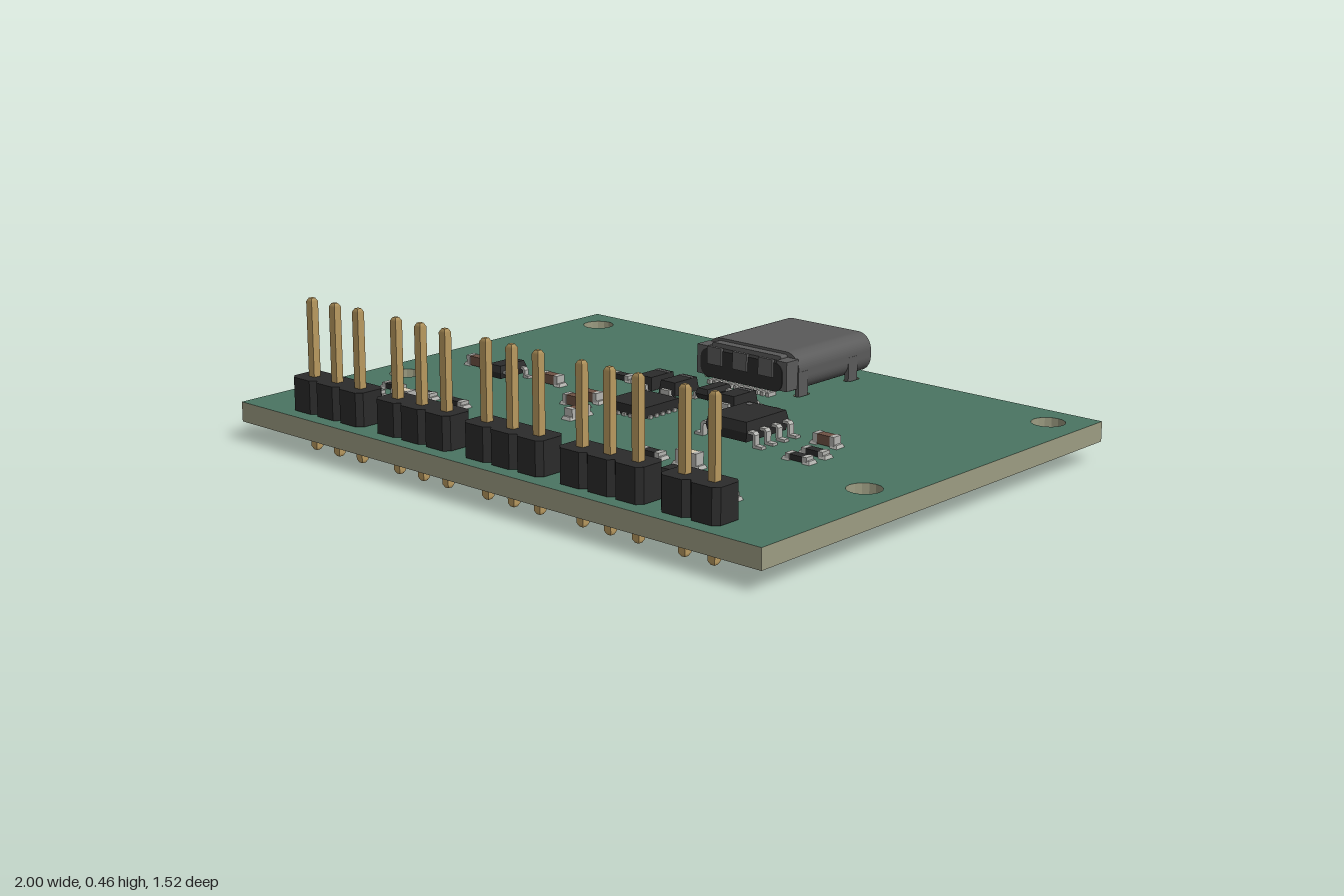
import * as THREE from 'three';

const TOP = 0.12; // upper face of the board
const mat = (color) => new THREE.MeshStandardMaterial({ color });
const MAT = {
  mask: mat(0x4a7562), core: mat(0x9c9c82), black: mat(0x2b2b2b), steel: mat(0x5a5a5a),
  gold: mat(0xb8995f), tin: mat(0xb4b4b0), brown: mat(0x6e5144), beige: mat(0xdacdb2), dot: mat(0x8a8a8a),
};

function add(parent, name, geometry, material, x = 0, y = 0, z = 0) {
  const mesh = new THREE.Mesh(geometry, material);
  mesh.name = name;
  mesh.position.set(x, y, z);
  parent.add(mesh);
  return mesh;
}

function group(parent, name, x = 0, y = 0, z = 0) {
  const g = new THREE.Group();
  g.name = name;
  g.position.set(x, y, z);
  parent.add(g);
  return g;
}

// Box standing on y = 0 whose top is drawn in by the given amount
function block(w, h, d, taper = 0) {
  const g = new THREE.BoxGeometry(w, h, d).translate(0, h / 2, 0);
  const p = g.attributes.position;
  for (let i = 0; i < p.count; i++) {
    if (p.getY(i) > h / 2) {
      p.setX(i, p.getX(i) - Math.sign(p.getX(i)) * taper);
      p.setZ(i, p.getZ(i) - Math.sign(p.getZ(i)) * taper);
    }
  }
  g.computeVertexNormals();
  return g;
}

function roundRect(path, w, h, r, cx = 0, cy = 0) {
  const x = w / 2 - r, y = h / 2 - r;
  path.absarc(cx + x, cy + y, r, 0, Math.PI / 2);
  path.absarc(cx - x, cy + y, r, Math.PI / 2, Math.PI);
  path.absarc(cx - x, cy - y, r, Math.PI, Math.PI * 1.5);
  path.absarc(cx + x, cy - y, r, Math.PI * 1.5, Math.PI * 2);
  path.closePath();
  return path;
}

const extrude = (shape, depth) => new THREE.ExtrudeGeometry(shape, { depth, bevelEnabled: false, curveSegments: 8 });

// Pin headers: first pin x and number of pins
const HEADERS = [[-0.77, 3], [-0.41, 3], [-0.05, 3], [0.31, 3], [0.67, 2]];
const PITCH = 0.1, HEADER_Z = 0.67;

function buildBoard(root) {
  const shape = new THREE.Shape([[-1, -0.76], [1, -0.76], [1, 0.76], [-1, 0.76]].map(([x, z]) => new THREE.Vector2(x, z)));
  const hole = (x, z, r) => shape.holes.push(new THREE.Path().absarc(x, z, r, 0, Math.PI * 2, true));
  for (const x of [-0.89, 0.89]) for (const z of [-0.65, 0.21]) hole(x, z, 0.05);
  for (const [x, n] of HEADERS) for (let i = 0; i < n; i++) hole(x + i * PITCH, HEADER_Z, 0.02);
  // slots for the socket legs
  for (const x of [-0.175, 0.175]) {
    for (const z of [-0.65, -0.41]) shape.holes.push(roundRect(new THREE.Path(), 0.028, 0.06, 0.0139, x, z));
  }
  const geo = extrude(shape, 0.06).rotateX(Math.PI / 2);
  add(root, 'circuitBoard', geo, [MAT.mask, MAT.core], 0, TOP, 0);
}

function buildHeader(root, x0, count) {
  const g = group(root, 'pinHeader', x0, 0, HEADER_Z);
  const a = 0.05, c = 0.034;
  const outline = new THREE.Shape([[a, c], [c, a], [-c, a], [-a, c], [-a, -c], [-c, -a], [c, -a], [a, -c]]
    .map(([x, y]) => new THREE.Vector2(x, y)));
  const housing = extrude(outline, 0.1).rotateX(-Math.PI / 2);
  const pin = new THREE.BoxGeometry(0.024, 0.455, 0.024, 1, 3, 1).translate(0, 0.2275, 0);
  const p = pin.attributes.position;
  for (let i = 0; i < p.count; i++) { // short chamfered tips
    const y = p.getY(i);
    if (y < 0.01 || y > 0.45) {
      p.setX(i, p.getX(i) * 0.55);
      p.setZ(i, p.getZ(i) * 0.55);
    } else p.setY(i, y < 0.2275 ? 0.01 : 0.445);
  }
  pin.computeVertexNormals();
  for (let i = 0; i < count; i++) {
    add(g, 'housing', housing, MAT.black, i * PITCH, TOP + 0.002, 0);
    add(g, 'pin', pin, MAT.gold, i * PITCH, 0, 0);
  }
}

// Two-ended chip part with end caps and solder pads
function buildChip(root, name, x, z, material, h, turned) {
  const g = group(root, name, x, TOP, z);
  if (turned) g.rotation.y = Math.PI / 2;
  add(g, 'body', block(0.046, h, 0.03), material, 0, 0.003, 0);
  for (const s of [-1, 1]) {
    add(g, 'endCap', block(0.015, h + 0.002, 0.032), MAT.tin, s * 0.03, 0.002, 0);
    add(g, 'solder', block(0.026, 0.01, 0.036, 0.004), MAT.tin, s * 0.036, 0, 0);
  }
}

// Bent lead running out along +x from the origin
function leadGeometry(reach, height, width) {
  const t = 0.008, k = reach * 0.4;
  const s = new THREE.Shape([[-0.01, height], [k, height], [k + t, height - t], [k + t, t], [reach, t], [reach, 0],
    [k, 0], [k - 0.002, height - t], [-0.01, height - t]].map(([x, y]) => new THREE.Vector2(x, y)));
  return extrude(s, width).translate(0, 0, -width / 2);
}

// Moulded package; leads are z offsets on the right (+x) and left (-x) sides
function buildPackage(root, name, o) {
  const g = group(root, name, o.x, TOP, o.z);
  g.rotation.y = o.turn || 0;
  const half = (o.h - o.gap) / 2;
  add(g, 'bodyTop', block(o.w, half, o.d, 0.006), MAT.black, 0, o.gap + half, 0);
  add(g, 'bodyBottom', block(o.w, half, o.d, 0.006).rotateX(Math.PI), MAT.black, 0, o.gap + half, 0);
  const lead = leadGeometry(o.reach, o.gap + half + 0.004, o.lead);
  for (const z of o.right) add(g, 'lead', lead, MAT.tin, o.w / 2 - 0.004, 0, z);
  for (const z of o.left) add(g, 'lead', lead, MAT.tin, -o.w / 2 + 0.004, 0, z).rotation.y = Math.PI;
  if (o.dot) add(g, 'pinOneMark', new THREE.CylinderGeometry(0.01, 0.01, 0.002, 16), MAT.dot, -o.w / 2 + 0.026, o.h + 0.001, -o.d / 2 + 0.026);
}

function buildFlatChip(root) {
  const g = group(root, 'flatController', -0.06, TOP, 0.035);
  add(g, 'body', block(0.152, 0.032, 0.152), MAT.black, 0, 0.003, 0);
  add(g, 'pinOneMark', new THREE.CylinderGeometry(0.01, 0.01, 0.002, 16), MAT.dot, -0.054, 0.036, -0.054);
  for (let side = 0; side < 4; side++) {
    const row = group(g, 'contactRow');
    row.rotation.y = side * Math.PI / 2;
    for (let i = -2; i <= 2; i++) add(row, 'contact', block(0.018, 0.009, 0.013), MAT.tin, 0.074, 0, i * 0.026);
  }
}

function buildDiode(root, x) {
  const g = group(root, 'diode', x, TOP, -0.18);
  add(g, 'body', block(0.066, 0.04, 0.108, 0.005), MAT.black, 0, 0.005, 0);
  add(g, 'cathodeBand', block(0.054, 0.002, 0.01), MAT.dot, 0, 0.0445, -0.034);
  for (const s of [-1, 1]) {
    add(g, 'terminal', block(0.036, 0.022, 0.014), MAT.tin, 0, 0, s * 0.057);
    add(g, 'solder', block(0.048, 0.008, 0.03, 0.004), MAT.tin, 0, 0, s * 0.06);
  }
}

function buildSocket(root) {
  const g = group(root, 'socket', 0, TOP + 0.067, 0);
  const W = 0.36, H = 0.122;
  // hollow shell, open towards the back
  const shell = roundRect(new THREE.Shape(), W, H, 0.05);
  shell.holes.push(roundRect(new THREE.Path(), W - 0.028, H - 0.028, 0.036));
  add(g, 'shell', extrude(shell, 0.35), MAT.steel, 0, 0, -0.74);
  add(g, 'innerWall', extrude(roundRect(new THREE.Shape(), W - 0.028, H - 0.028, 0.036), 0.15), MAT.black, 0, 0, -0.55);
  add(g, 'tongue', new THREE.BoxGeometry(0.25, 0.026, 0.16), MAT.black, 0, 0, -0.63);
  // stepped front end with folded tabs
  add(g, 'insulator', extrude(roundRect(new THREE.Shape(), W - 0.04, H - 0.034, 0.03), 0.06), MAT.black, 0, -0.006, -0.395);
  add(g, 'topLip', extrude(roundRect(new THREE.Shape(), 0.27, 0.014, 0.006), 0.04), MAT.steel, 0, 0.046, -0.4);
  for (const x of [-0.1, 0, 0.1]) add(g, 'foldedTab', new THREE.BoxGeometry(0.055, 0.055, 0.012), MAT.steel, x, 0.02, -0.334);
  for (const s of [-1, 1]) {
    add(g, 'frontCorner', new THREE.BoxGeometry(0.04, 0.09, 0.055), MAT.steel, s * 0.156, 0, -0.365);
    // mounting legs into the board slots
    for (const z of [-0.65, -0.41]) add(g, 'mountingLeg', new THREE.BoxGeometry(0.014, 0.125, 0.044), MAT.steel, s * 0.174, -0.057, z);
  }
  const contact = block(0.011, 0.012, 0.035);
  for (let i = 0; i < 12; i++) add(g, 'contact', contact, MAT.tin, (i - 5.5) * 0.021, -0.067, -0.338);
}

export function createModel() {
  const root = new THREE.Group();
  root.name = 'circuitBoardAssembly';
  buildBoard(root);
  buildSocket(root);
  for (const [x, n] of HEADERS) buildHeader(root, x, n);

  // resistors
  for (const [x, z] of [[-0.34, -0.18], [0.23, -0.18], [0.605, 0.06], [0.605, 0.13], [-0.77, 0.365], [-0.635, 0.365],
    [-0.5, 0.365], [-0.77, 0.45], [-0.17, 0.45], [0.145, 0.45], [0.28, 0.45], [0.28, 0.365], [0.67, 0.515]]) {
    buildChip(root, 'resistor', x, z, MAT.black, 0.016);
  }
  // capacitors
  for (const [x, z, turned] of [[-0.785, 0], [-0.465, 0], [0.565, -0.04], [-0.24, 0.065], [-0.24, 0.13], [-0.15, 0.215, true]]) {
    buildChip(root, 'capacitor', x, z, MAT.brown, 0.029, turned);
  }
  // indicator lamps
  for (const [x, z] of [[-0.635, 0.45], [0.415, 0.365], [0.355, 0.515]]) buildChip(root, 'lamp', x, z, MAT.beige, 0.04);

  for (const x of [-0.205, -0.11, 0.12]) buildDiode(root, x);
  buildFlatChip(root);
  const row = [-0.075, -0.025, 0.025, 0.075];
  buildPackage(root, 'eightLeadChip', { x: 0.34, z: 0.035, w: 0.15, d: 0.185, h: 0.07, gap: 0.012, reach: 0.052, lead: 0.02, right: row, left: row, dot: true });
  buildPackage(root, 'regulator', { x: -0.625, z: 0.035, w: 0.062, d: 0.112, h: 0.048, gap: 0.008, reach: 0.036, lead: 0.016, right: [-0.037, 0.037], left: [-0.037, 0, 0.037] });
  buildPackage(root, 'transistor', { x: 0.525, z: 0.52, turn: Math.PI / 2, w: 0.058, d: 0.115, h: 0.048, gap: 0.008, reach: 0.03, lead: 0.018, right: [0], left: [-0.037, 0.037] });
  buildPackage(root, 'surgeProtector', { x: 0.005, z: -0.205, w: 0.05, d: 0.108, h: 0.038, gap: 0.006, reach: 0.03, lead: 0.018, right: [-0.036, 0.036], left: [-0.036, 0.036] });
  return root;
}
